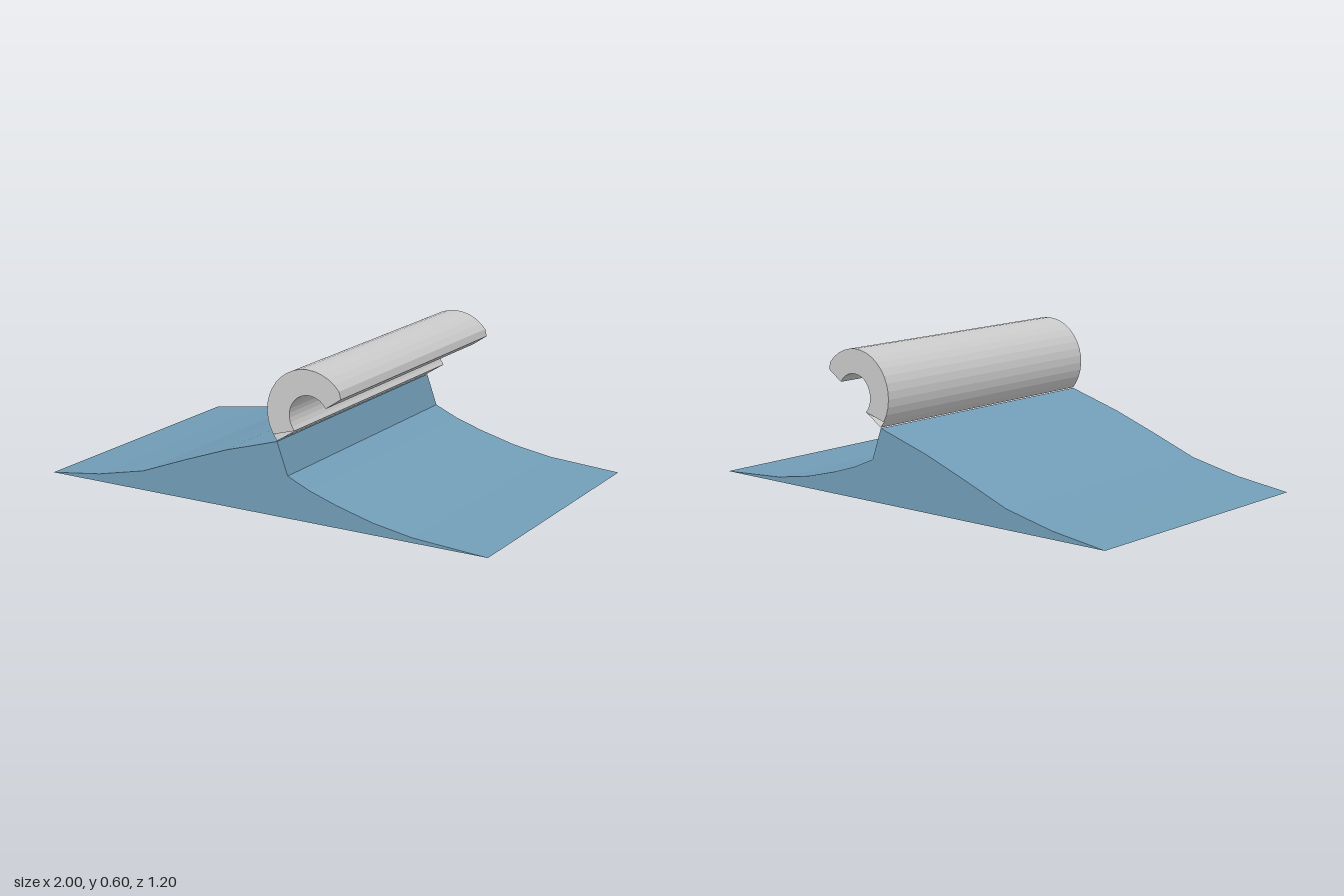
import * as THREE from 'three';

const DEPTH = 1.2;

// Straight prism along z from a closed outline, faceted sides
function prism(points, material, name) {
  const shape = new THREE.Shape(points.map(([x, y]) => new THREE.Vector2(x, y)));
  const geometry = new THREE.ExtrudeGeometry(shape, { depth: DEPTH, bevelEnabled: false });
  geometry.translate(0, 0, -DEPTH / 2);
  const mesh = new THREE.Mesh(geometry, material);
  mesh.name = name;
  return mesh;
}

// Points along an arc, angles in degrees
function arc(cx, cy, r, from, to, segments) {
  return Array.from({ length: segments + 1 }, (_, i) => {
    const a = THREE.MathUtils.degToRad(from + (to - from) * i / segments);
    return [cx + r * Math.cos(a), cy + r * Math.sin(a)];
  });
}

// Thin open wall between two profile points, running the full depth
function wall([x1, y1], [x2, y2], material, name) {
  const geometry = new THREE.PlaneGeometry(Math.hypot(x2 - x1, y2 - y1), DEPTH);
  geometry.rotateX(-Math.PI / 2);
  geometry.rotateZ(Math.atan2(y2 - y1, x2 - x1));
  geometry.translate((x1 + x2) / 2, (y1 + y2) / 2, 0);
  const mesh = new THREE.Mesh(geometry, material);
  mesh.name = name;
  return mesh;
}

export function createModel() {
  const group = new THREE.Group();
  const blue = new THREE.MeshStandardMaterial({ color: 0x729eb8, flatShading: true });
  const grey = new THREE.MeshStandardMaterial({ color: 0xcccccc, flatShading: true });
  const greyThin = grey.clone();
  greyThin.side = THREE.DoubleSide;

  // Water: long rising back, sharp crest, steep face and flattening trough
  group.add(prism([
    [-1, 0], [1, 0], [0.69, 0.02], [0.52, 0.048], [0.36, 0.09], [0.243, 0.128],
    [0.147, 0.17], [0.1, 0.3], [-0.136, 0.23], [-0.33, 0.16], [-0.54, 0.08], [-0.76, 0.032],
  ], blue, 'waveBody'));

  // Curl: thick open ring hanging over the steep face
  const outer = arc(0.236, 0.42, 0.179, 29, 211.5, 18);
  outer[0] = [0.382, 0.503];
  const inner = arc(0.243, 0.413, 0.087, 223, 32, 16);
  group.add(prism([...outer, ...inner], grey, 'curl'));

  // Foot of the curl: two thin walls meeting on the crest
  const crest = [0.1, 0.303];
  group.add(wall(outer[outer.length - 1], crest, greyThin, 'curlFootBack'));
  group.add(wall(crest, inner[0], greyThin, 'curlFootFront'));

  return group;
}
